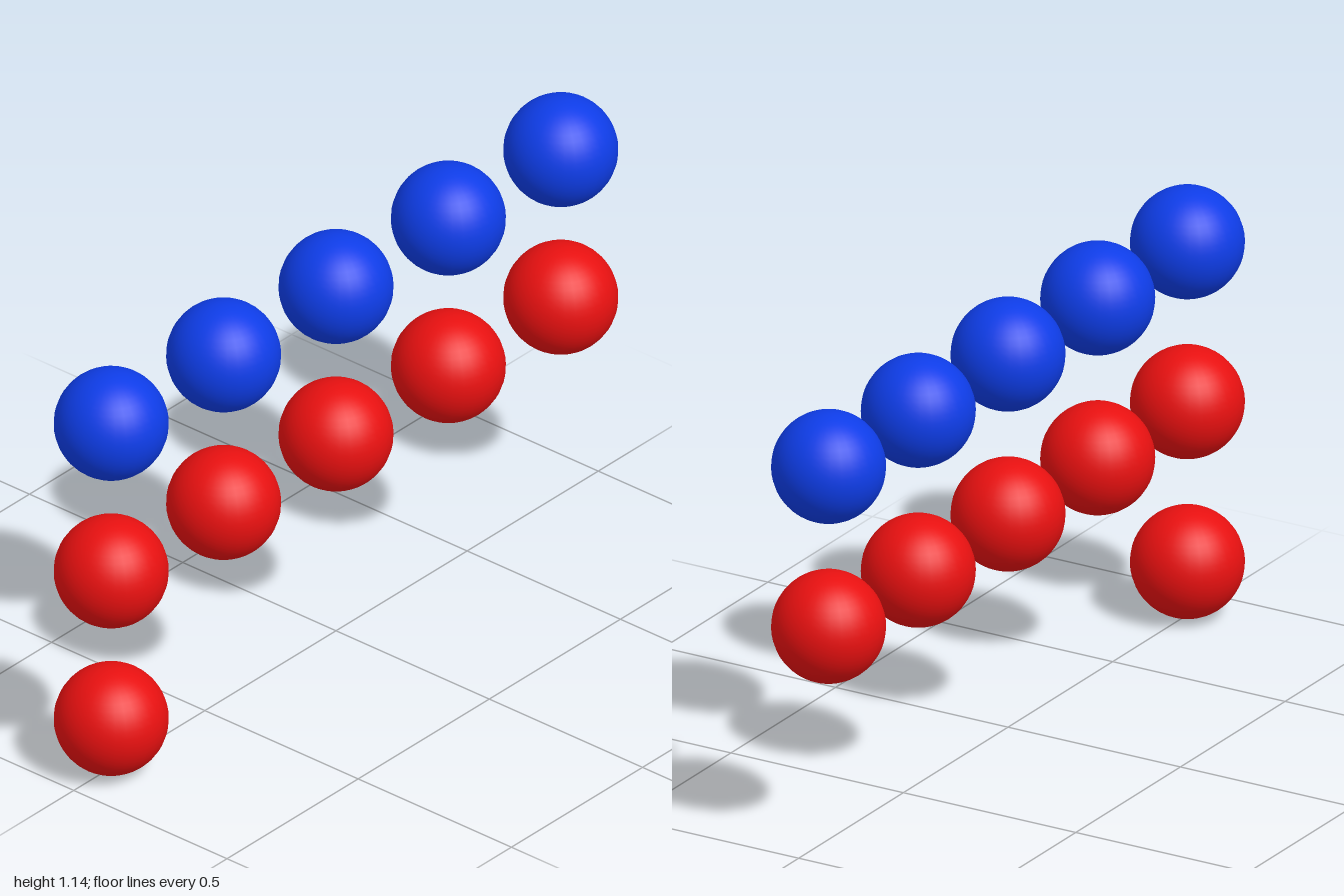
import * as THREE from 'three';

export function createModel() {
  const model = new THREE.Group();
  model.name = 'ballGrid';

  const blue = new THREE.MeshStandardMaterial({ color: 0x0f3ff0 });
  blue.name = 'blue';
  const red = new THREE.MeshStandardMaterial({ color: 0xee1111 });
  red.name = 'red';

  // Five balls with half-diameter gaps span 14 radii, which is 2 units
  const radius = 1 / 7;
  const spacing = 3 * radius;
  const ball = new THREE.SphereGeometry(radius, 32, 24);

  // Rows from bottom to top, each filled from the model's right side
  const rows = [
    { name: 'bottomRow', count: 1, material: red },
    { name: 'middleRow', count: 5, material: red },
    { name: 'topRow', count: 5, material: blue },
  ];

  rows.forEach(({ name, count, material }, level) => {
    const row = new THREE.Group();
    row.name = name;
    row.position.y = radius + level * spacing;
    for (let i = 0; i < count; i++) {
      const mesh = new THREE.Mesh(ball, material);
      mesh.name = `${material.name}Ball${i + 1}`;
      mesh.position.x = (i - 2) * spacing;
      row.add(mesh);
    }
    model.add(row);
  });

  return model;
}
